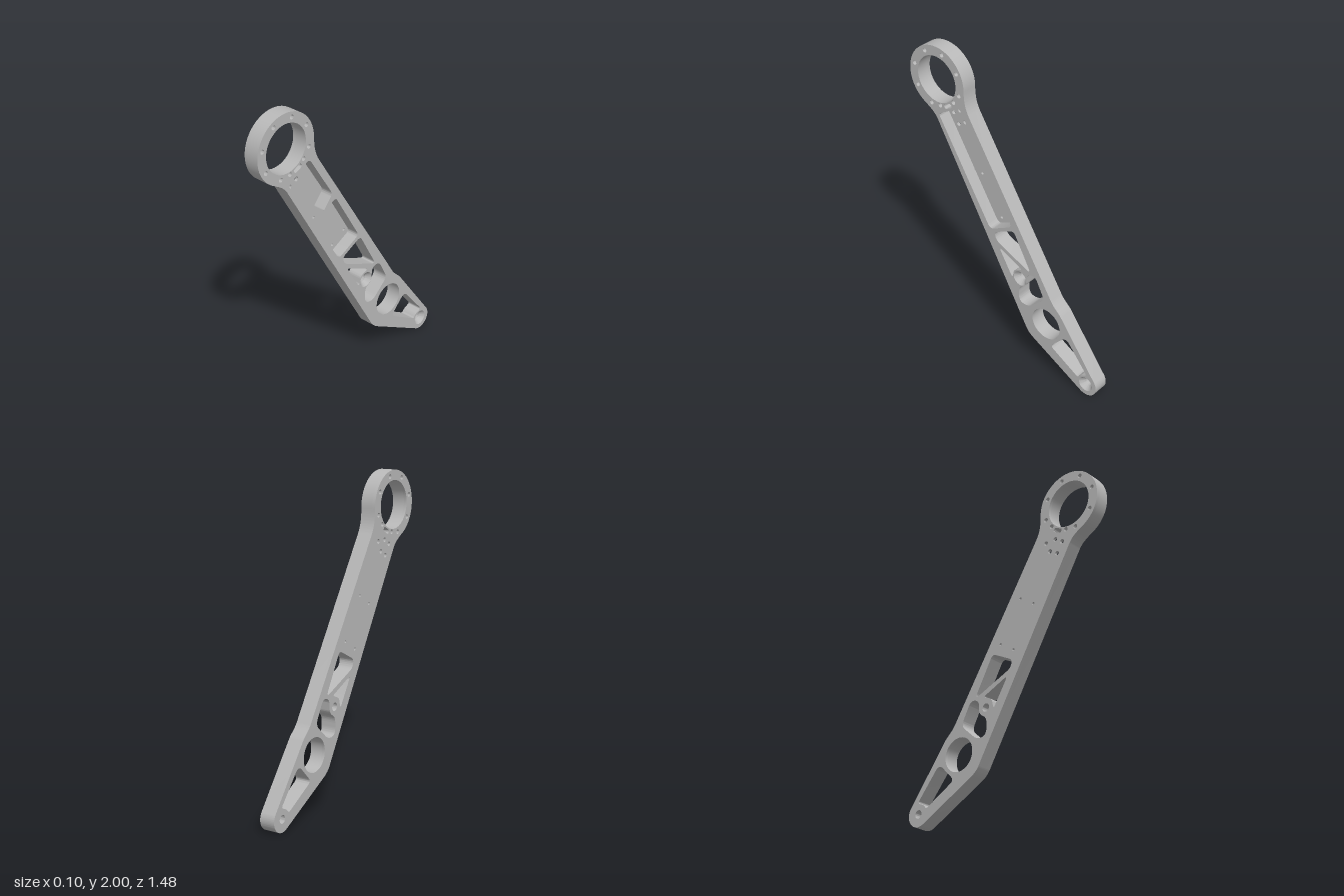
import * as THREE from 'three';
import { toCreasedNormals } from 'three/addons/utils/BufferGeometryUtils.js';

// Profile is drawn in hundredths of a unit: first axis runs to the back (-z), second is up.
const RING = [-52.7, 178.4];
const TIP = [66.2, 8];
const BOSS = [12.7, 63.1];
const HALF = 5; // half thickness
const FLOOR = 2; // thickness left under the pocket
const SEGMENTS = 24;

function circle([x, y], r) {
  return new THREE.Path().absarc(x, y, r, 0, Math.PI * 2, false);
}

// Closed polygon of [x, y, corner size] with rounded corners
function rounded(points) {
  const path = new THREE.Path();
  const n = points.length;
  const toward = (a, b) => {
    const d = Math.hypot(b[0] - a[0], b[1] - a[1]);
    const t = Math.min(a[2], d * 0.48) / d;
    return [a[0] + (b[0] - a[0]) * t, a[1] + (b[1] - a[1]) * t];
  };
  points.forEach((p, i) => {
    const start = toward(p, points[(i + n - 1) % n]);
    const end = toward(p, points[(i + 1) % n]);
    if (i === 0) path.moveTo(...start);
    else path.lineTo(...start);
    path.quadraticCurveTo(p[0], p[1], ...end);
  });
  path.closePath();
  return path;
}

// Arm silhouette: pivot tip, long shank, ring head
function outline() {
  const deg = Math.PI / 180;
  const s = new THREE.Shape();
  s.absarc(...TIP, 8, -118.5 * deg, 36.5 * deg, false);
  s.lineTo(45.3, 49.8);
  s.bezierCurveTo(43.5, 52.2, 39.8, 54.4, 37.4, 58.3);
  s.lineTo(-27.3, 162.2);
  s.bezierCurveTo(-30.5, 167.5, -31.1, 172, -31.1, 178.4);
  s.absarc(...RING, 21.6, 0, 243 * deg, false);
  s.bezierCurveTo(-59, 157.1, -55.2, 155.3, -52.7, 151);
  s.lineTo(17.8, 28.1);
  s.bezierCurveTo(19.3, 25.3, 21.5, 23.4, 24.6, 21.7);
  s.closePath();
  return s;
}

// Openings that pass through the whole thickness
function throughCuts() {
  const bolts = [[-61.7, 194.5], [-48, 196.1], [-36.8, 187.6], [-35.2, 173.6], [-39.5, 167.5],
    [-50.3, 161.6], [-57.5, 160.9], [-68.4, 169.3], [-70.5, 183.1]];
  const slot = [[-1, -1], [1, -1], [1, 1], [-1, 1]].map(([a, b]) => {
    const u = a * 3.2, v = b * 1.4, c = Math.cos(0.47), d = Math.sin(0.47);
    return [-44.1 + u * c - v * d, 163.2 + u * d + v * c, 1.4];
  });
  return [
    circle(RING, 15.2),
    circle([33.9, 38.4], 10.8),
    circle(BOSS, 5),
    circle(TIP, 5),
    ...bolts.map((b) => circle(b, 1.45)),
    rounded(slot),
    // lightening windows, from the pocket down to the tip
    rounded([[-8, 88.5, 3], [7.4, 96.5, 3], [21.5, 70.8, 4.5], [-6.6, 83.2, 3]]),
    rounded([[-4.5, 79.2, 3.5], [14.5, 70.4, 1.8], [8, 67.5, 2], [6.6, 60.8, 2.5]]),
    rounded([[18.3, 69, 3], [24.6, 70.8, 4], [32.2, 56.2, 4], [25.2, 49.8, 4],
      [19.5, 44.6, 5], [12, 45.5, 5], [12, 56.7, 4], [17.8, 60, 3]]),
    rounded([[37.6, 23.3, 3.5], [49.8, 36, 4.5], [67, 15, 2], [61.7, 12.8, 2], [60, 10.2, 2]]),
  ];
}

// Recess with a tongue on its rear edge
function pocket() {
  return rounded([[-51.9, 155.3, 2], [-35, 165.4, 2.5], [-16.7, 136.2, 2.5], [-24.2, 127.2, 1.2],
    [-13.8, 131.9, 2], [5.8, 98.6, 3], [-11.4, 89.3, 3.5]]);
}

// Small holes through the pocket floor
function floorHoles() {
  const large = [[-47.2, 154.5], [-42.1, 157.7], [-35, 157.4], [-37.9, 151], [-43.2, 147.9]];
  const small = [[-14.6, 126.7], [-24.6, 120.3], [1.1, 101], [-9, 94.6]];
  return [...large.map((p) => circle(p, 1.45)), ...small.map((p) => circle(p, 0.9))];
}

export function createModel() {
  const group = new THREE.Group();
  group.name = 'mountingArm';
  const metal = new THREE.MeshStandardMaterial({ color: 0xb8b8b8 });
  metal.name = 'brushed grey metal';

  // Turn a part drawn in the profile plane into the upright side plane
  const add = (geometry, name) => {
    geometry.rotateY(Math.PI / 2).scale(0.01, 0.01, 0.01);
    const mesh = new THREE.Mesh(toCreasedNormals(geometry, 0.5), metal);
    mesh.name = name;
    group.add(mesh);
  };

  const layer = (holes, from, to, name) => {
    const shape = outline();
    shape.holes.push(...throughCuts(), ...holes);
    const geometry = new THREE.ExtrudeGeometry(shape,
      { depth: to - from, bevelEnabled: false, curveSegments: SEGMENTS });
    add(geometry.translate(0, 0, from), name);
  };
  layer(floorHoles(), -HALF, -HALF + FLOOR, 'pocketFloorPlate');
  layer([pocket()], -HALF + FLOOR, HALF, 'armBody');

  // Countersunk linings of the two pivot holes
  for (const [centre, name] of [[BOSS, 'bossCountersink'], [TIP, 'tipCountersink']]) {
    const profile = [[5, HALF], [2.6, 2], [2.6, -HALF], [5, -HALF]]
      .map(([r, h]) => new THREE.Vector2(r, h));
    const lining = new THREE.LatheGeometry(profile, SEGMENTS * 2);
    add(lining.rotateX(Math.PI / 2).translate(centre[0], centre[1], 0), name);
  }
  return group;
}
